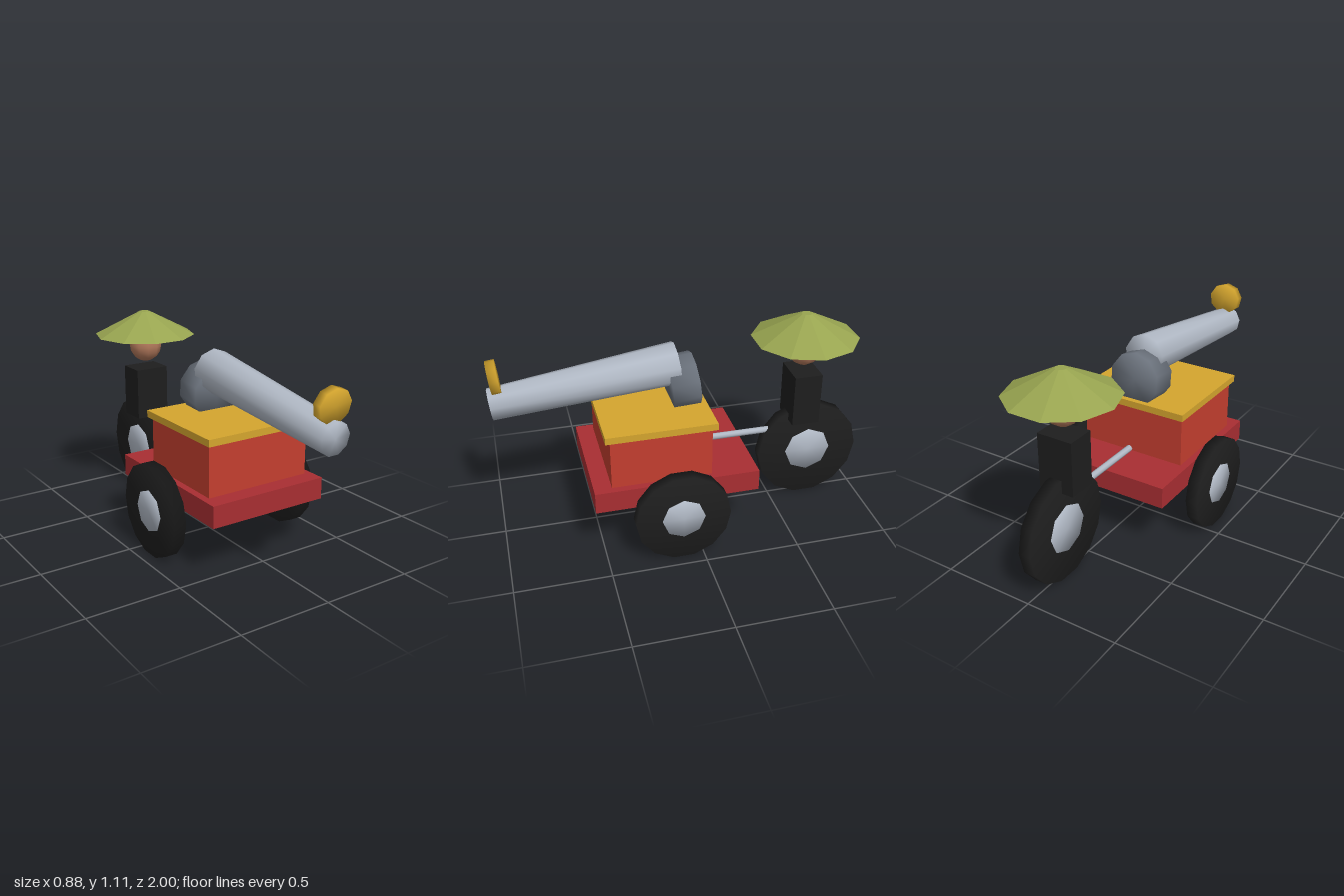
import * as THREE from 'three';
import { mergeVertices } from 'three/addons/utils/BufferGeometryUtils.js';

const material = (name, color, flatShading = false) => {
  const m = new THREE.MeshStandardMaterial({ color, flatShading });
  m.name = name;
  return m;
};

// Welds a geometry so normals run softly across its edges
function soften(geometry) {
  geometry.deleteAttribute('normal');
  geometry.deleteAttribute('uv');
  const welded = mergeVertices(geometry, 1e-4);
  welded.computeVertexNormals();
  return welded;
}

export function createModel() {
  const model = new THREE.Group();
  model.name = 'gunCart';

  const darkRed = material('dark red', 0xa82e32);
  const red = material('red', 0xc43e2f);
  const gold = material('gold', 0xd4a52e);
  const steel = material('steel', 0xb0b8c4);
  const gunmetal = material('gunmetal', 0x6b727c);
  const black = material('black', 0x1e1e1e);
  const olive = material('olive', 0x98a450, true);
  const skin = material('skin', 0xb0775a);

  function add(name, geometry, mat, x, y, z, parent = model) {
    const mesh = new THREE.Mesh(geometry, mat);
    mesh.name = name;
    mesh.position.set(x, y, z);
    parent.add(mesh);
    return mesh;
  }
  const box = (name, mat, w, h, d, y, z) =>
    add(name, new THREE.BoxGeometry(w, h, d), mat, 0, y, z);

  // Cylinder lying along z, with one corner pointing up
  const drum = (rBack, rFront, length, sides) =>
    soften(new THREE.CylinderGeometry(rBack, rFront, length, sides).rotateX(-Math.PI / 2));

  // Cart body
  box('chassis', darkRed, 0.673, 0.116, 0.866, 0.343, 0.11);
  box('cargoBox', red, 0.596, 0.27, 0.526, 0.536, 0.187);
  box('deckPlate', gold, 0.632, 0.037, 0.576, 0.691, 0.187);

  // Wheels, each a tyre with a slightly wider hub
  function wheel(name, x, y, z, radius, hubRadius) {
    const group = new THREE.Group();
    group.name = name;
    group.position.set(x, y, z);
    model.add(group);
    const disc = (r, width, sides) =>
      soften(new THREE.CylinderGeometry(r, r, width, sides).rotateZ(Math.PI / 2));
    add('tyre', disc(radius, 0.066, 14), black, 0, 0, 0, group);
    add('hub', disc(hubRadius, 0.075, 8), steel, 0, 0, 0, group);
  }
  wheel('leftWheel', 0.404, 0.245, 0.108, 0.25, 0.113);
  wheel('rightWheel', -0.404, 0.245, 0.108, 0.25, 0.113);
  wheel('rearWheel', 0, 0.284, -0.713, 0.288, 0.13);

  // Rod joining the cart to the rear wheel
  add('connectingRod', drum(0.018, 0.018, 0.5, 8), steel, 0, 0.43, -0.355);

  // Gun, tipped slightly down towards the muzzle
  const pitch = 0.117;
  const barrel = add('barrel', drum(0.114, 0.083, 0.963, 9), steel, 0, 0.857, 0.516);
  const breech = add('breech', drum(0.144, 0.144, 0.146, 10), gunmetal, 0, 0.806, 0.013);
  const sight = add('muzzleDisc', drum(0.0925, 0.0925, 0.046, 9), gold, 0, 0.95, 0.962);
  sight.scale.y = 0.93;
  for (const part of [barrel, breech, sight]) part.rotation.x = pitch;

  // Rider
  box('riderBody', black, 0.196, 0.29, 0.153, 0.64, -0.663);
  add('riderHead', soften(new THREE.SphereGeometry(0.092, 10, 8)), skin, 0, 0.911, -0.661);
  const hat = new THREE.CylinderGeometry(0.029, 0.287, 0.134, 10).rotateY(Math.PI / 10);
  add('riderHat', hat, olive, 0, 1.044, -0.662);

  return model;
}
